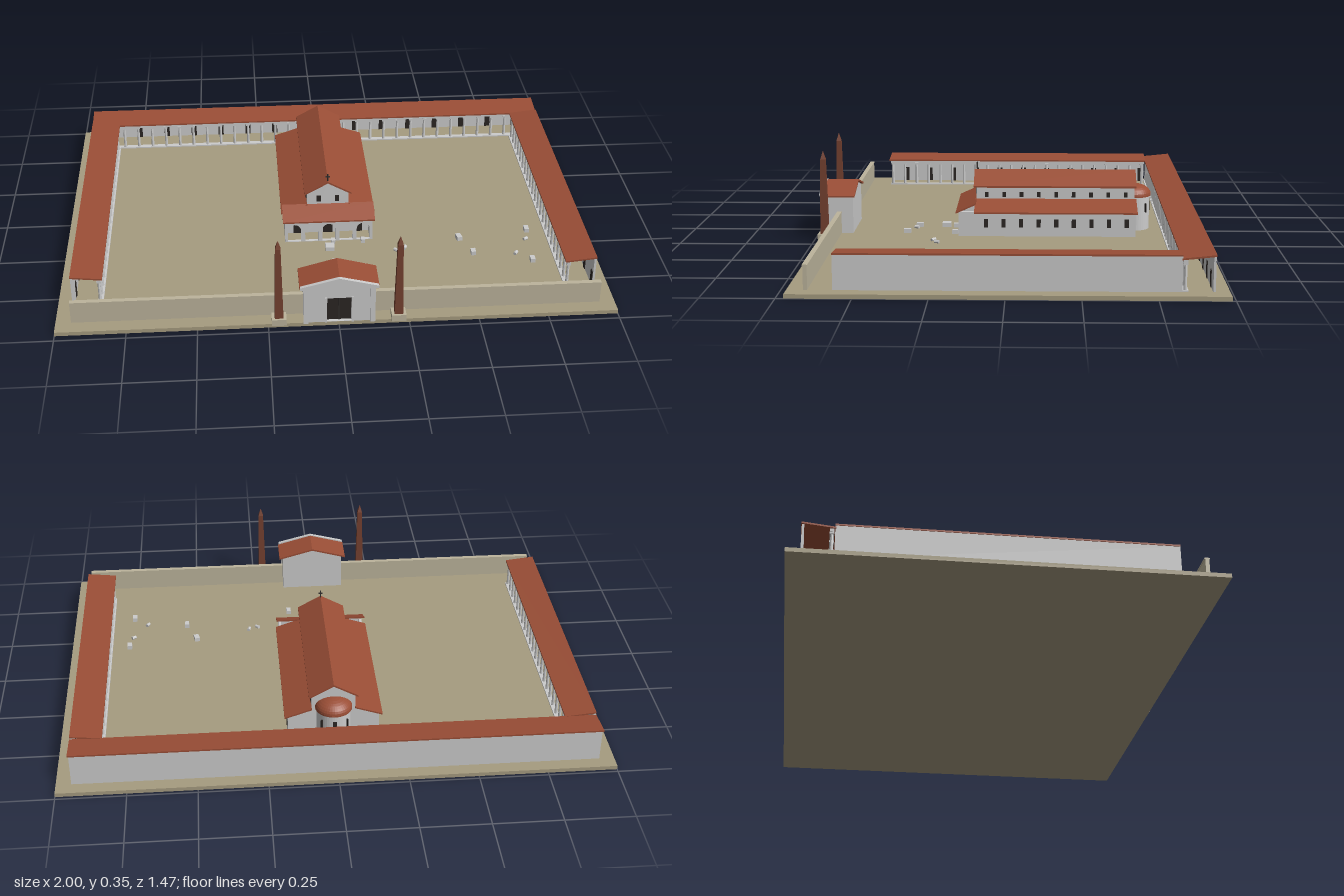
import * as THREE from 'three';

const mat = (color) => new THREE.MeshStandardMaterial({ color, flatShading: true, side: THREE.DoubleSide });
const STONE = mat(0xcccccc), ROOF = mat(0x9a4e36), EARTH = mat(0xa69c80), SAND = mat(0xbcb49c);
const GRANITE = mat(0x74402f), DARK = mat(0x2b2623), IRON = mat(0x33302e);
const G = 0.015; // ground level

function add(parent, name, geometry, material, x = 0, y = 0, z = 0) {
  const m = new THREE.Mesh(geometry, material);
  m.name = name;
  m.position.set(x, y, z);
  parent.add(m);
  return m;
}

// Box given by its base centre
const box = (p, name, material, w, h, d, x, y, z) =>
  add(p, name, new THREE.BoxGeometry(w, h, d), material, x, y + h / 2, z);

// Cross-section in x/y, extruded from z0 to z1
function prism(p, name, material, pts, z0, z1, holes = []) {
  const s = new THREE.Shape(pts.map(([x, y]) => new THREE.Vector2(x, y)));
  s.holes.push(...holes);
  return add(p, name, new THREE.ExtrudeGeometry(s, { depth: z1 - z0, bevelEnabled: false, curveSegments: 10 }), material, 0, 0, z0);
}

function archHole(x, y0, r, spring) {
  const h = new THREE.Path();
  h.moveTo(x - r, y0);
  h.lineTo(x + r, y0);
  h.lineTo(x + r, spring);
  h.absarc(x, spring, r, 0, Math.PI, false);
  h.lineTo(x - r, y0);
  return h;
}

function group(parent, name) {
  const g = new THREE.Group();
  g.name = name;
  parent.add(g);
  return g;
}

// Colonnade along local z, rear wall on +x, roof rising towards the wall
function portico(parent, name, length, wallLength, columns) {
  const g = group(parent, name);
  const h = length / 2;
  box(g, 'rearWall', STONE, 0.008, 0.12, wallLength, 0.05, G, 0);
  prism(g, 'shedRoof', ROOF, [[-0.058, 0.123], [0.056, 0.135], [0.056, 0.141], [-0.058, 0.129]], -h, h);
  box(g, 'architrave', STONE, 0.014, 0.012, length - 0.01, -0.045, 0.112, 0);
  box(g, 'stylobate', STONE, 0.02, 0.005, length - 0.01, -0.045, G, 0);
  for (let i = 0; i < columns; i++) {
    const z = -h + 0.015 + (length - 0.03) * i / (columns - 1);
    add(g, 'column', new THREE.CylinderGeometry(0.005, 0.006, 0.09, 8), STONE, -0.045, G + 0.05, z);
    box(g, 'capital', STONE, 0.016, 0.008, 0.016, -0.045, 0.106, z);
    if (i % 2 && Math.abs(z) < wallLength / 2) box(g, 'doorway', DARK, 0.003, 0.06, 0.022, 0.045, G, z);
  }
  return g;
}

function basilica(parent) {
  const g = group(parent, 'basilica');
  // Nave with gable roof
  prism(g, 'nave', STONE, [[-0.08, G], [0.08, G], [0.08, 0.192], [0, 0.237], [-0.08, 0.192]], -0.475, 0.135);
  prism(g, 'naveRoof', ROOF, [[-0.09, 0.188], [0, 0.238], [0.09, 0.188], [0.09, 0.195], [0, 0.245], [-0.09, 0.195]], -0.482, 0.145);
  for (const s of [-1, 1]) {
    // Side aisles with windows
    prism(g, 'aisle', STONE, [[0.08 * s, G], [0.168 * s, G], [0.168 * s, 0.108], [0.08 * s, 0.138]], -0.475, 0.135);
    prism(g, 'aisleRoof', ROOF, [[0.079 * s, 0.138], [0.18 * s, 0.104], [0.18 * s, 0.11], [0.079 * s, 0.144]], -0.482, 0.14);
    for (let i = 0; i < 9; i++) {
      const z = 0.095 - i * 0.067;
      box(g, 'clerestoryWindow', DARK, 0.003, 0.02, 0.014, 0.081 * s, 0.15, z);
      box(g, 'aisleWindow', DARK, 0.003, 0.032, 0.016, 0.169 * s, 0.05, z);
    }
    box(g, 'facadeWindow', DARK, 0.016, 0.025, 0.003, 0.035 * s, 0.155, 0.136);
  }
  // Arcaded porch
  const holes = [-2, -1, 0, 1, 2].map((i) => archHole(i * 0.066, G + 0.002, 0.025, 0.066));
  prism(g, 'porchArcade', STONE, [[-0.168, G], [0.168, G], [0.168, 0.11], [-0.168, 0.11]], 0.188, 0.2, holes);
  for (const s of [-1, 1]) box(g, 'porchSide', STONE, 0.01, 0.095, 0.06, 0.163 * s, G, 0.16);
  const roof = prism(g, 'porchRoof', ROOF, [[-0.21, 0.104], [-0.134, 0.138], [-0.134, 0.144], [-0.21, 0.11]], -0.176, 0.176);
  roof.rotation.y = Math.PI / 2;
  roof.position.set(-0.176, 0, 0);
  for (const x of [-0.115, 0, 0.115]) box(g, 'churchDoor', DARK, 0.036, 0.065, 0.004, x, G, 0.136);
  // Apse with half dome
  add(g, 'apse', new THREE.CylinderGeometry(0.062, 0.062, 0.138, 20, 1, false, Math.PI / 2, Math.PI), STONE, 0, G + 0.069, -0.475);
  const dome = add(g, 'apseRoof', new THREE.SphereGeometry(0.068, 20, 8, Math.PI, Math.PI, 0, Math.PI / 2), ROOF, 0, 0.15, -0.475);
  dome.scale.y = 0.6;
  add(g, 'apseEave', new THREE.CylinderGeometry(0.068, 0.068, 0.006, 20, 1, false, Math.PI / 2, Math.PI), ROOF, 0, 0.148, -0.475);
  for (const a of [-0.8, 0, 0.8])
    box(g, 'apseWindow', DARK, 0.014, 0.035, 0.004, Math.sin(a) * 0.062, 0.085, -0.475 - Math.cos(a) * 0.062).rotation.y = a;
  // Gable cross
  box(g, 'crossPost', IRON, 0.004, 0.03, 0.004, 0, 0.243, 0.135);
  box(g, 'crossBar', IRON, 0.016, 0.004, 0.004, 0, 0.26, 0.135);
}

function gatehouse(parent) {
  const g = group(parent, 'gatehouse');
  const door = new THREE.Path([[-0.043, G + 0.001], [0.043, G + 0.001], [0.043, 0.115], [-0.043, 0.115]].map((p) => new THREE.Vector2(...p)));
  prism(g, 'gateBody', STONE, [[-0.125, G], [0.125, G], [0.125, 0.16], [0, 0.194], [-0.125, 0.16]], 0.608, 0.705);
  prism(g, 'gateFront', STONE, [[-0.125, G], [0.125, G], [0.125, 0.16], [0, 0.194], [-0.125, 0.16]], 0.705, 0.722, [door]);
  prism(g, 'gateRoof', ROOF, [[-0.14, 0.157], [0, 0.195], [0.14, 0.157], [0.14, 0.164], [0, 0.202], [-0.14, 0.164]], 0.6, 0.724);
  prism(g, 'pediment', STONE, [[-0.138, 0.16], [0.138, 0.16], [0.138, 0.17], [0, 0.205], [-0.138, 0.17]], 0.722, 0.735);
  box(g, 'gateDoor', DARK, 0.086, 0.1, 0.003, 0, G, 0.708);
  box(g, 'doorGap', IRON, 0.003, 0.1, 0.003, 0, G, 0.711);
  for (const s of [-1, 1]) {
    box(g, 'pilaster', STONE, 0.018, 0.145, 0.01, 0.118 * s, G, 0.726);
    box(g, 'doorFrame', STONE, 0.008, 0.104, 0.005, 0.047 * s, G, 0.7235);
  }
}

function obelisk(parent, x) {
  const g = group(parent, 'obelisk');
  g.position.set(x, 0, 0.705);
  box(g, 'plinth', SAND, 0.052, 0.025, 0.048, 0, 0.01, 0);
  const tapered = (name, r0, r1, h, y) => {
    add(g, name, new THREE.CylinderGeometry(r1 * Math.SQRT2, r0 * Math.SQRT2, h, 4), GRANITE, 0, y + h / 2, 0).rotation.y = Math.PI / 4;
  };
  tapered('shaft', 0.0155, 0.0095, 0.285, 0.035);
  tapered('pyramidion', 0.0095, 0, 0.032, 0.32);
}

export function createModel() {
  const model = new THREE.Group();
  model.name = 'walledSanctuary';
  box(model, 'ground', EARTH, 2, G, 1.46, 0, 0, -0.0075 - 0.0);

  // Enclosure on three sides, low wall at the front
  portico(model, 'leftPortico', 1.15, 1.15, 22).position.set(0.893, 0, -0.005);
  const right = portico(model, 'rightPortico', 1.15, 1.15, 22);
  right.position.set(-0.893, 0, -0.005);
  right.rotation.y = Math.PI;
  const back = portico(model, 'backPortico', 1.9, 1.89, 33);
  back.position.set(0, 0, -0.635);
  back.rotation.y = Math.PI / 2;
  for (const s of [-1, 1]) {
    box(model, 'frontWall', SAND, 0.82, 0.08, 0.014, 0.535 * s, G, 0.66);
    box(model, 'wallCoping', SAND, 0.82, 0.005, 0.018, 0.535 * s, G + 0.08, 0.66);
    obelisk(model, 0.212 * s);
  }

  gatehouse(model);
  basilica(model);

  // Scattered blocks and column drums in the court: x, z, size, turn
  const rubble = group(model, 'rubble');
  const blocks = [[0, 0.255, 0.034, 0], [0.01, 0.36, 0.018, 0], [0.115, 0.4, 0.018, 0], [0.015, 0.215, 0.015, 0], [0.13, 0.215, 0.015, 0],
    [0.5, 0.22, 0.02, 0.2], [0.54, 0.325, 0.018, 0], [0.755, 0.39, 0.018, 0], [0.77, 0.18, 0.018, 0]];
  for (const [x, z, s, turn] of blocks)
    box(rubble, 'stoneBlock', STONE, s, 0.016, s > 0.03 ? s : s * 1.5, x, G, z).rotation.y = turn;
  for (const [x, z, turn] of [[0.04, 0.37, 0.4], [0.285, 0.275, 0.3], [0.25, 0.29, -0.8], [0.7, 0.34, 0.6], [0.755, 0.245, 1]])
    add(rubble, 'columnDrum', new THREE.CylinderGeometry(0.006, 0.007, 0.018, 8), STONE, x, G + 0.006, z).rotation.set(Math.PI / 2, 0, turn);

  return model;
}
